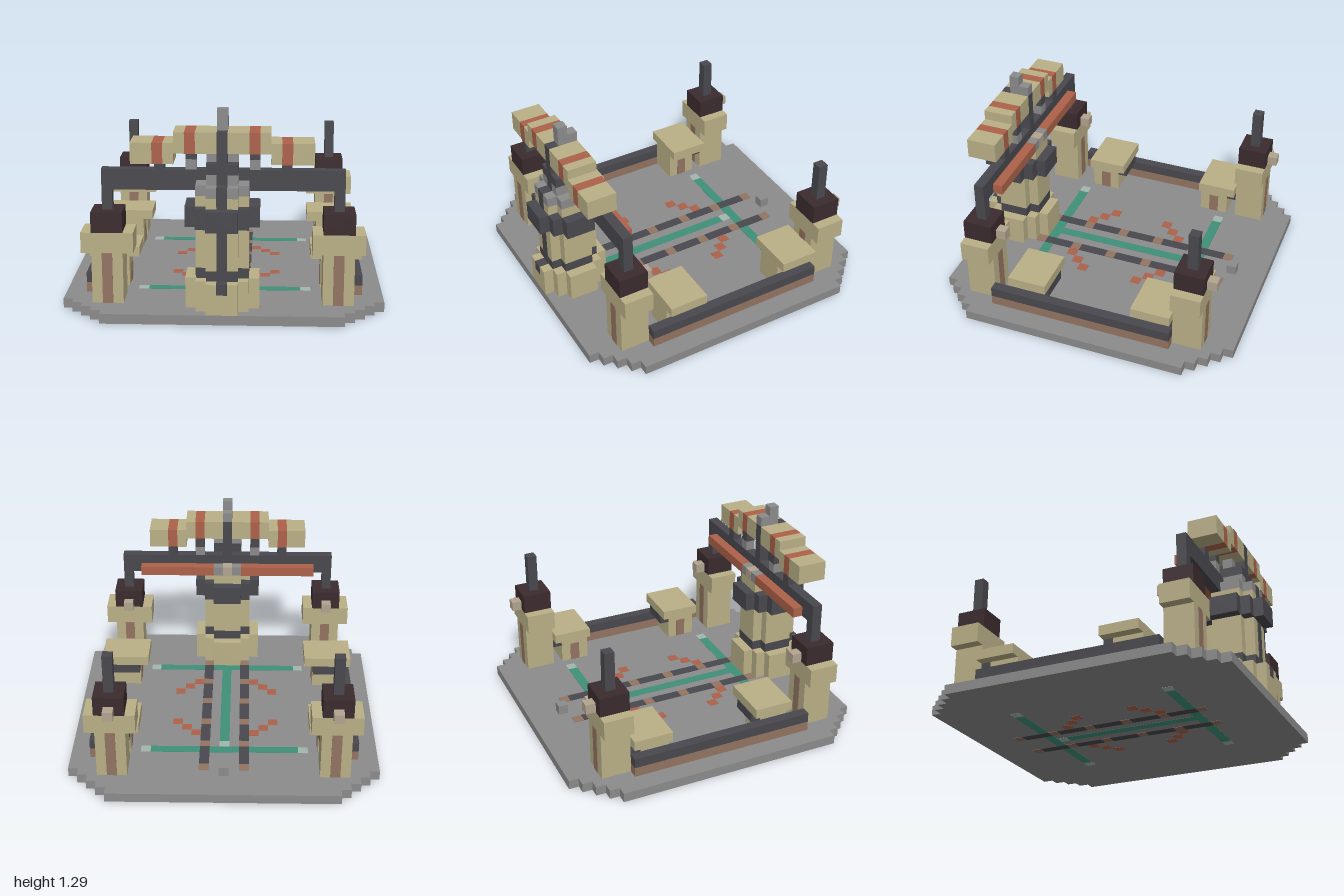
import * as THREE from 'three';

const U = 2 / 31; // one block of the grid

const paint = (name, color) => {
  const m = new THREE.MeshStandardMaterial({ color });
  m.name = name;
  return m;
};

export function createModel() {
  const stone = paint('stone grey', 0x8b8b8b);
  const tan = paint('sandstone', 0xbab087);
  const dark = paint('dark iron', 0x49484e);
  const maroon = paint('dark maroon', 0x3b2b2e);
  const brown = paint('brown', 0x937461);
  const teal = paint('teal', 0x3f9078);
  const mint = paint('pale mint', 0xa3b5ad);
  const orange = paint('burnt orange', 0xad624a);
  const pale = paint('pale beige', 0xb2a590);

  const model = new THREE.Group();
  model.name = 'gatehouse';
  const grid = new THREE.Group();
  grid.name = 'blocks';
  grid.scale.setScalar(U);
  model.add(grid);

  // Box from its limits, in blocks
  function box(name, mat, x0, x1, y0, y1, z0, z1) {
    const g = new THREE.BoxGeometry(Math.abs(x1 - x0), y1 - y0, z1 - z0);
    const m = new THREE.Mesh(g, mat);
    m.position.set((x0 + x1) / 2, (y0 + y1) / 2, (z0 + z1) / 2);
    m.name = name;
    grid.add(m);
  }
  // The same box on both sides
  const pair = (name, mat, x0, x1, ...rest) => {
    for (const s of [1, -1]) box(name, mat, s * x0, s * x1, ...rest);
  };
  // Disc with a staircase outline; steps are the corners of one quadrant
  function steppedDisc(name, mat, steps, y0, y1, z) {
    const q = [];
    steps.forEach(([a, b], i) => {
      if (i) q.push([a, steps[i - 1][1]]);
      q.push([a, b]);
    });
    const r = [...q].reverse();
    const outline = [
      ...q,
      ...r.map(([a, b]) => [-a, b]),
      ...q.map(([a, b]) => [-a, -b]),
      ...r.map(([a, b]) => [a, -b]),
    ].map(([a, b]) => new THREE.Vector2(a, b));
    const g = new THREE.ExtrudeGeometry(new THREE.Shape(outline), { depth: y1 - y0, bevelEnabled: false });
    g.rotateX(-Math.PI / 2);
    const m = new THREE.Mesh(g, mat);
    m.position.set(0, y0, z);
    m.name = name;
    grid.add(m);
  }

  // Floor slab with clipped corners
  steppedDisc('floor', stone, [[15.5, 11.5], [14.5, 12.5], [13.5, 13.5], [12.5, 14.5], [11.5, 15.5]], 0.04, 1, 0);

  // Inlaid floor lines, showing above and below
  for (const z of [-8.5, 7.5]) {
    box('crossLine', teal, -7.5, 7.5, 0.02, 1.03, z, z + 1);
    pair('crossLineEnd', mint, 7.5, 8.5, 0.02, 1.03, z, z + 1);
  }
  box('centreLine', teal, -0.5, 0.5, 0.02, 1.03, -6.5, 7.5);
  box('centreLineEnd', mint, -0.5, 0.5, 0.02, 1.03, -7.5, -6.5);
  for (let z = -11.5; z <= 8.5; z += 4) {
    pair('trackTie', brown, 1.5, 2.5, 0, 1.06, z, z + 1);
    if (z < 8) pair('trackRail', dark, 1.5, 2.5, 0, 1.06, z + 1, z + 4);
  }
  for (let i = 0; i < 3; i++) {
    for (const z of [5 - i, i - 5]) {
      pair('floorDot', orange, 2.5 + i, 3.5 + i, 0.02, 1.03, z - 0.5, z + 0.5);
    }
  }
  box('floorBlock', stone, -0.5, 0.5, 1, 2, -12.5, -11.5);

  // Corner towers
  for (const side of [1, -1]) {
    const z = side * 11;
    pair('towerShaft', tan, 9.5, 12.5, 1, 6, z - 1.5, z + 1.5);
    pair('towerCap', tan, 8.5, 13.5, 6, 8, z - 1.5, z + 1.5);
    pair('towerStripe', brown, 10.5, 11.5, 1, 6, z - 1.55, z + 1.55);
    pair('towerTop', maroon, 9.5, 12.5, 8, 10, z - 1.5, z + 1.5);
    pair('towerPole', dark, 10.5, 11.5, 10, 14, z - 0.5, z + 0.5);
    const k = side > 0 ? 8.5 : -13.5;
    pair('towerKnob', pale, 10.5, 11.5, 8, 9, k, k + 1);
  }

  // Side walls and the benches along them
  pair('wallBase', brown, 12.5, 13.5, 1, 2, -9.5, 9.5);
  pair('wallTop', dark, 12.5, 13.5, 2, 3, -9.5, 9.5);
  for (const z of [-9.5, 3.5]) {
    pair('benchTop', tan, 8.5, 13.5, 4, 5, z, z + 4);
    pair('benchSupport', tan, 9.5, 12.5, 1, 4, z + 1, z + 4);
    pair('benchBracket', dark, 9.5, 12.5, 3, 4, z, z + 1);
    pair('benchBrick', brown, 9.45, 10.5, 1, 3, z + 2, z + 3);
  }

  // Round central tower
  const wide = [[3.5, 1.5], [2.5, 2.5], [1.5, 3.5]];
  const slim = [[2.5, 1.5], [1.5, 2.5]];
  steppedDisc('keepBase', tan, wide, 1, 4, 12);
  steppedDisc('keepBand', dark, slim, 4, 5, 12);
  steppedDisc('keepShaft', tan, slim, 5, 9, 12);
  steppedDisc('keepRing', dark, wide, 9, 11, 12);
  steppedDisc('keepNeck', tan, slim, 11, 12, 12);
  steppedDisc('keepCrown', stone, slim, 12, 13, 12);
  box('keepStripe', dark, -0.5, 0.5, 3, 13.05, 13.5, 14.55);
  box('keepStripeFoot', dark, -0.5, 0.5, 3, 4.05, 14.5, 15.55);
  box('keepBackInset', pale, -0.5, 0.5, 12, 13.05, 9.45, 10.5);
  pair('crownBlock', stone, 0.5, 1.5, 13, 14, 11.5, 13.5);
  box('crownCore', dark, -0.5, 0.5, 13, 16, 10.5, 13.5);
  pair('crownShoulder', dark, 0.5, 1.5, 14, 15, 11.5, 13.5);
  pair('crownBracket', stone, 0.5, 1.5, 15, 16, 11.5, 12.5);

  // Gate beam between the front towers
  box('gateBeam', dark, -11.5, 11.5, 12, 14, 10.5, 11.5);
  pair('gateBanner', orange, 1.5, 9.5, 12, 13, 9.5, 10.5);

  // Striped upper beam on its posts
  pair('outerPost', dark, 5.5, 6.5, 14, 15, 10.5, 11.5);
  pair('innerPostFoot', stone, 2.5, 3.5, 14, 15, 10.5, 11.5);
  pair('innerPost', dark, 2.5, 3.5, 15, 16, 10.5, 11.5);
  for (const [a, b, y, mat] of [
    [0.5, 2.5, 16, tan], [2.5, 3.5, 16, orange], [3.5, 4.5, 16, tan],
    [4.5, 5.5, 15, tan], [5.5, 6.5, 15, orange], [6.5, 8.5, 15, tan],
  ]) {
    pair(mat === tan ? 'upperBeam' : 'beamStripe', mat, a, b, y, y + 2, 10.5, 13.5);
  }
  box('beamCentre', dark, -0.5, 0.5, 16, 18, 10.5, 13.5);
  box('spire', stone, -0.5, 0.5, 18, 20, 11.5, 12.5);
  box('spireStep', stone, -0.5, 0.5, 18, 19, 10.5, 11.5);

  return model;
}
